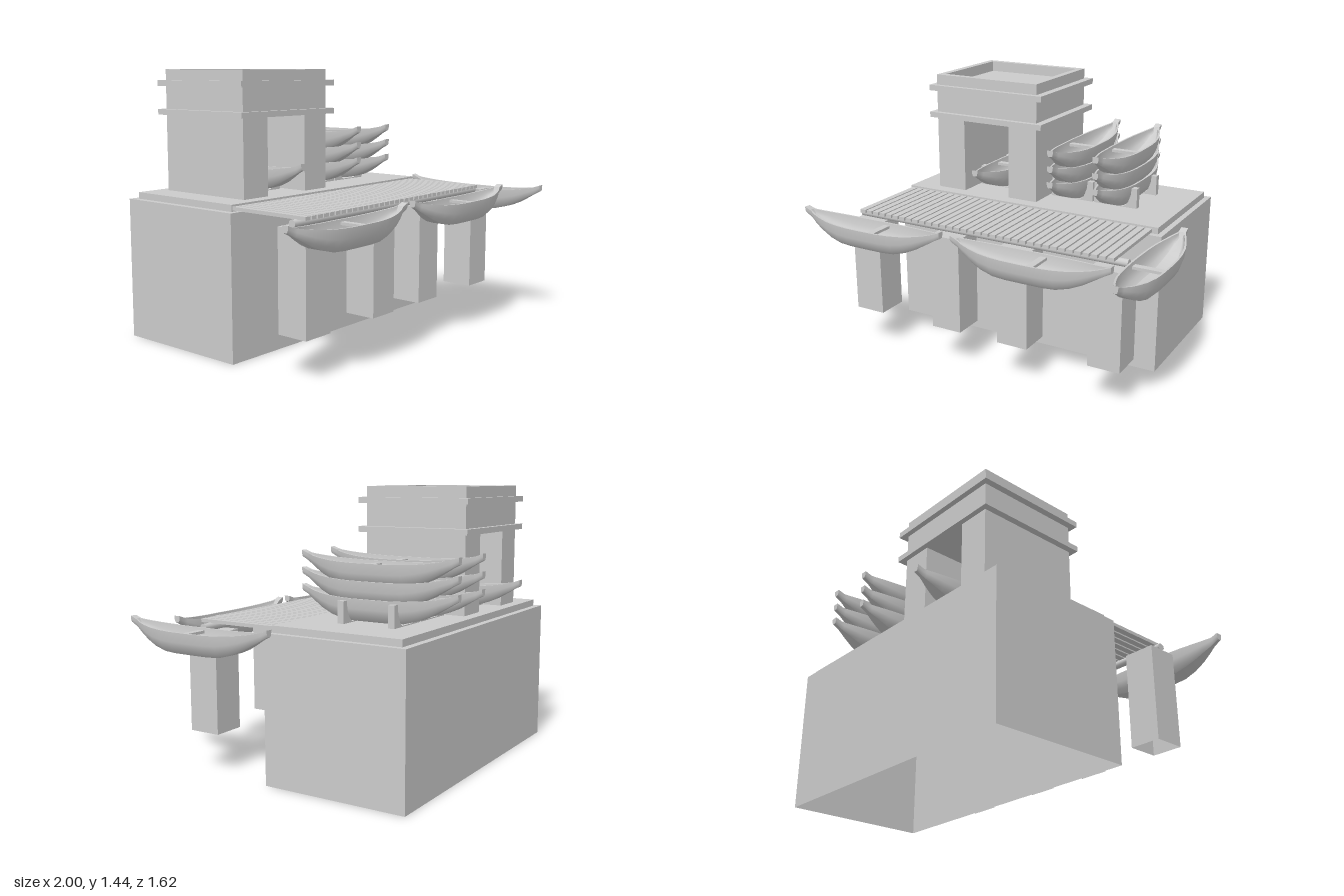
import * as THREE from 'three';
import { toCreasedNormals } from 'three/addons/utils/BufferGeometryUtils.js';

const material = new THREE.MeshStandardMaterial({ color: 0xcccccc, side: THREE.DoubleSide });

function addMesh(parent, geometry, name) {
  const mesh = new THREE.Mesh(geometry, material);
  mesh.name = name;
  parent.add(mesh);
  return mesh;
}

// Box given by its limits; openBottom drops the underside
function addBox(parent, name, [x0, x1], [y0, y1], [z0, z1], openBottom = false) {
  const g = new THREE.BoxGeometry(x1 - x0, y1 - y0, z1 - z0);
  if (openBottom) {
    const index = Array.from(g.index.array);
    index.splice(18, 6);
    g.setIndex(index);
    g.clearGroups();
  }
  const mesh = addMesh(parent, g, name);
  mesh.position.set((x0 + x1) / 2, (y0 + y1) / 2, (z0 + z1) / 2);
  return mesh;
}

// Canoe hull: U-shaped rings lofted along z, solid at the two stub ends
function hullGeometry() {
  // distance from middle, half width, keel height, gunwale height
  const half = [
    [0, 0.095, 0, 0.112], [0.1, 0.093, 0, 0.112], [0.17, 0.088, 0.004, 0.114],
    [0.24, 0.077, 0.022, 0.118], [0.3, 0.06, 0.047, 0.124], [0.35, 0.042, 0.075, 0.131],
    [0.385, 0.025, 0.095, 0.138], [0.4, 0.019, 0.104, 0.142], [0.435, 0.018, 0.122, 0.155],
  ];
  const stations = [...half.slice(1).reverse().map(([d, ...r]) => [-d, ...r]), ...half];
  const side = [[1, 1], [0.95, 0.55], [0.8, 0.2], [0.55, 0]];
  const section = [...side, ...side.slice().reverse().map(([x, y]) => [-x, y])];
  const n = section.length * 2;
  const pos = [], index = [];
  for (const [z, w, low, top] of stations) {
    const solid = Math.abs(z) > 0.39;
    const wi = solid ? w * 0.8 : w - 0.01;
    const floor = solid ? top : Math.min(low + 0.02, top);
    for (const [x, y] of section) pos.push(x * w, low + y * (top - low), z);
    for (const [x, y] of section.slice().reverse()) pos.push(x * wi, floor + y * (top - floor), z);
  }
  for (let i = 0; i < stations.length - 1; i++) {
    for (let j = 0; j < n; j++) {
      const a = i * n + j, b = i * n + (j + 1) % n;
      index.push(a, a + n, b + n, a, b + n, b);
    }
  }
  const last = (stations.length - 1) * n;
  for (let j = 1; j < n - 1; j++) {
    index.push(0, j, j + 1, last, last + j + 1, last + j);
  }
  const g = new THREE.BufferGeometry();
  g.setAttribute('position', new THREE.Float32BufferAttribute(pos, 3));
  g.setIndex(index);
  return toCreasedNormals(g, 0.65);
}

// Cradle plate with a notch that holds the hull
function cradleGeometry() {
  const s = new THREE.Shape();
  [[-0.125, 0], [0.125, 0], [0.125, 0.11], [0.09, 0.11], [0.085, 0.06], [0.07, 0.022],
    [0.05, 0.005], [-0.05, 0.005], [-0.07, 0.022], [-0.085, 0.06], [-0.09, 0.11], [-0.125, 0.11],
  ].forEach(([x, y], i) => (i ? s.lineTo(x, y) : s.moveTo(x, y)));
  return new THREE.ExtrudeGeometry(s, { depth: 0.035, bevelEnabled: false });
}

export function createModel() {
  const model = new THREE.Group();
  model.name = 'boatDock';

  // Quay block and its paving slab
  addBox(model, 'quayBlock', [-0.775, 0.82], [0, 0.755], [-0.735, 0.04], true);
  addBox(model, 'quaySlab', [-0.74, 0.79], [0.755, 0.79], [-0.7, 0.01]);

  // Jetty: posts, cross beam and planks
  const jetty = new THREE.Group();
  jetty.name = 'jetty';
  model.add(jetty);
  for (const x of [-0.765, -0.26, 0.137, 0.647]) {
    addBox(jetty, 'jettyPost', [x, x + 0.172], [0.21, 0.725], [0.34, 0.513], true);
  }
  const beam = addMesh(jetty, new THREE.CylinderGeometry(0.02, 0.02, 1.57, 12), 'jettyBeam');
  beam.rotation.z = Math.PI / 2;
  beam.position.set(0.025, 0.745, 0.425);
  const planks = 35, pitch = 1.5 / planks;
  for (let i = 0; i < planks; i++) {
    const x = -0.733 + i * pitch;
    addBox(jetty, 'jettyPlank', [x, x + pitch * 0.78], [0.762, 0.78], [0.0, 0.485]);
  }

  // Gatehouse: two side walls, cornices, upper storey and parapet
  const house = new THREE.Group();
  house.name = 'gatehouse';
  model.add(house);
  const depth = [-0.64, -0.06];
  addBox(house, 'sideWall', [-0.585, -0.41], [0.79, 1.2], depth);
  addBox(house, 'sideWall', [-0.125, 0.048], [0.79, 1.2], depth);
  addBox(house, 'lowerCornice', [-0.62, 0.09], [1.2, 1.23], [-0.668, -0.033]);
  addBox(house, 'upperStorey', [-0.585, 0.048], [1.23, 1.352], depth);
  addBox(house, 'upperCornice', [-0.62, 0.09], [1.352, 1.383], [-0.668, -0.033]);
  const rim = 0.037;
  for (const [x0, x1] of [[-0.585, -0.585 + rim], [0.048 - rim, 0.048]]) {
    addBox(house, 'parapetSide', [x0, x1], [1.383, 1.44], depth);
  }
  for (const z of [-0.64, -0.06 - rim]) {
    addBox(house, 'parapetEnd', [-0.585 + rim, 0.048 - rim], [1.383, 1.44], [z, z + rim]);
  }

  // Canoes, each with one bench
  const hull = hullGeometry();
  const bench = new THREE.BoxGeometry(0.15, 0.014, 0.036);
  function addCanoe(x, y, z, turn = 0) {
    const canoe = new THREE.Group();
    canoe.name = 'canoe';
    addMesh(canoe, hull, 'canoeHull');
    addMesh(canoe, bench, 'canoeBench').position.set(0, 0.095, 0.042);
    canoe.position.set(x, y, z);
    canoe.rotation.y = turn;
    model.add(canoe);
  }
  // Afloat along the jetty
  addCanoe(-0.565, 0.635, 0.605, Math.PI / 2);
  addCanoe(0.37, 0.635, 0.605, Math.PI / 2);
  addCanoe(0.905, 0.635, 0.375);

  // Stored on cradles: one under the gatehouse, two stacks of three
  const cradle = cradleGeometry();
  for (const [x, count] of [[-0.275, 1], [0.19, 3], [0.45, 3]]) {
    for (let i = 0; i < count; i++) addCanoe(x + 0.005, 0.8 + i * 0.0855, -0.375);
    for (const z of [-0.535, -0.255]) {
      addMesh(model, cradle, 'canoeCradle').position.set(x, 0.79, z);
    }
  }
  return model;
}
